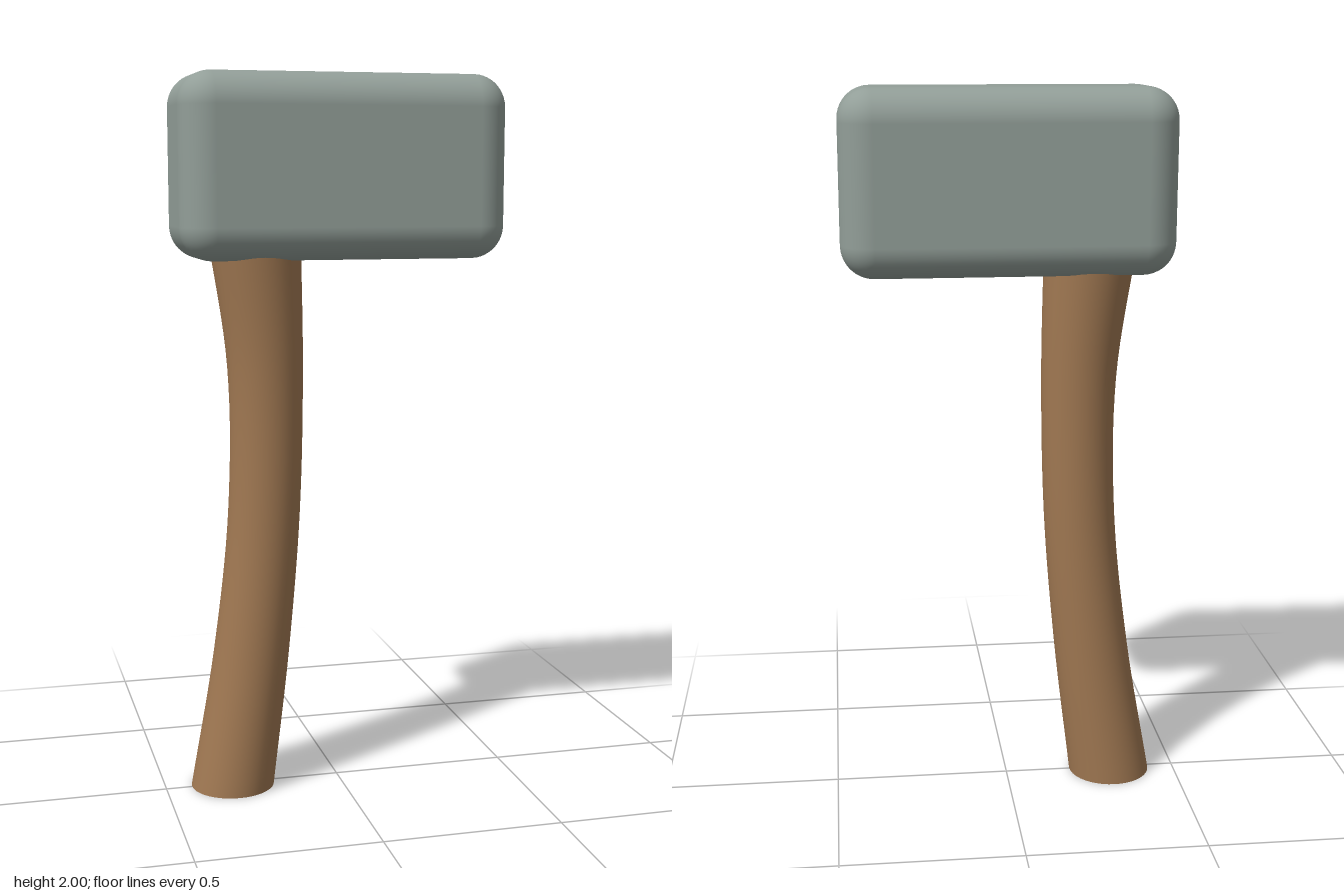
import * as THREE from 'three';
import { mergeVertices } from 'three/addons/utils/BufferGeometryUtils.js';
import { RoundedBoxGeometry } from 'three/addons/geometries/RoundedBoxGeometry.js';

const stone = new THREE.MeshStandardMaterial({ color: 0x929e98 });
stone.name = 'grey stone';
const wood = new THREE.MeshStandardMaterial({ color: 0xa07852 });
wood.name = 'brown wood';

// Bent shaft, flared at both ends: each ring is scaled and shifted along the profile
function handleGeometry() {
  // x: height, y: centre offset, z: radius
  const profile = new THREE.CatmullRomCurve3([
    [0, -0.308, 0.118], [0.4, -0.249, 0.107], [0.8, -0.21, 0.101],
    [1.2, -0.204, 0.105], [1.6, -0.235, 0.13],
  ].map((p) => new THREE.Vector3(...p)));
  let geo = new THREE.CylinderGeometry(1, 1, 1, 40, 32);
  const pos = geo.attributes.position;
  for (let i = 0; i < pos.count; i++) {
    const ring = profile.getPoint(pos.getY(i) + 0.5);
    pos.setXYZ(i, ring.y + pos.getX(i) * ring.z, ring.x, pos.getZ(i) * ring.z);
  }
  geo.deleteAttribute('uv');
  geo = mergeVertices(geo);
  geo.computeVertexNormals();
  return geo;
}

export function createModel() {
  const model = new THREE.Group();
  model.name = 'hammer';

  const head = new THREE.Mesh(new RoundedBoxGeometry(0.905, 0.5, 0.345, 6, 0.09), stone);
  head.name = 'head';
  head.position.y = 1.75;

  const handle = new THREE.Mesh(handleGeometry(), wood);
  handle.name = 'handle';

  model.add(head, handle);
  return model;
}
